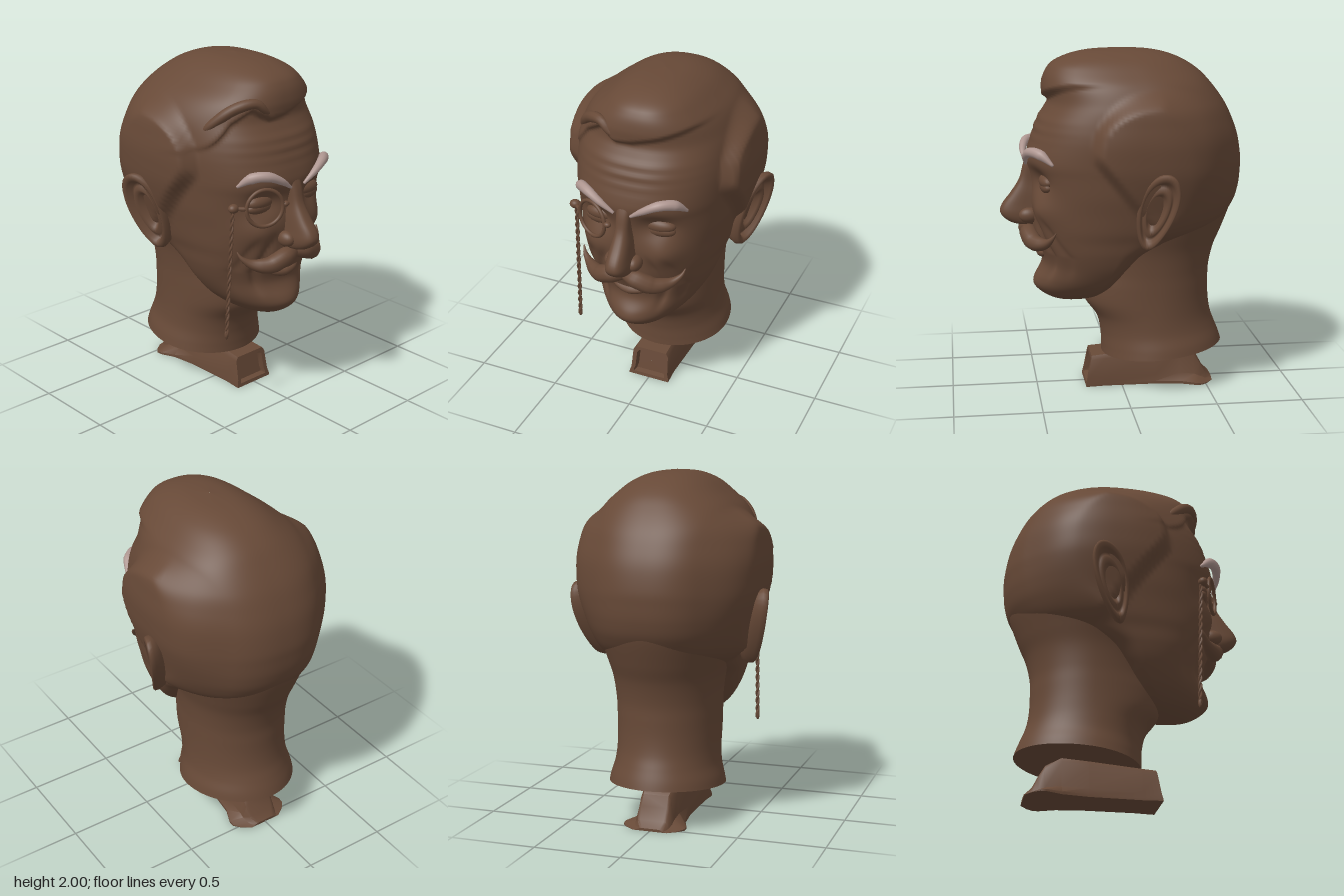
import * as THREE from 'three';
import { toCreasedNormals } from 'three/addons/utils/BufferGeometryUtils.js';

const V = (x, y, z) => new THREE.Vector3(x, y, z);
const step = THREE.MathUtils.smoothstep;
const bump = (x, y, cx, cy, sx, sy) => Math.exp(-(((x - cx) / sx) ** 2) - ((y - cy) / sy) ** 2);
const power = (v, p) => Math.sign(v) * Math.abs(v) ** p;

// Skin closed loops of points into one smooth surface
function loft(rings) {
  const n = rings[0].length, idx = [];
  for (let i = 0; i < rings.length - 1; i++)
    for (let j = 0; j < n; j++) {
      const k = (j + 1) % n, a = i * n + j, b = i * n + k, c = b + n, d = a + n;
      idx.push(a, b, d, b, c, d);
    }
  const g = new THREE.BufferGeometry().setFromPoints(rings.flat());
  g.setIndex(idx);
  g.computeVertexNormals();
  return g;
}

// Round tube whose radius follows a list; both ends closed
function taper(points, radii, steps = 32, sides = 12) {
  const curve = new THREE.CatmullRomCurve3(points.map(p => V(...p)));
  const { normals, binormals } = curve.computeFrenetFrames(steps);
  const ring = (i, r) => Array.from({ length: sides }, (_, j) => {
    const a = j / sides * Math.PI * 2;
    return curve.getPointAt(i / steps)
      .addScaledVector(normals[i], r * Math.cos(a)).addScaledVector(binormals[i], r * Math.sin(a));
  });
  const rings = [ring(0, 0.0005)];
  for (let i = 0; i <= steps; i++) {
    const f = i / steps * (radii.length - 1), k = Math.min(Math.floor(f), radii.length - 2);
    rings.push(ring(i, THREE.MathUtils.lerp(radii[k], radii[k + 1], f - k)));
  }
  rings.push(ring(steps, 0.0005));
  return loft(rings);
}

// Mirror a geometry to the other side, keeping faces outward
function mirrored(geo) {
  const g = geo.clone().scale(-1, 1, 1), ix = g.index.array;
  for (let i = 0; i < ix.length; i += 3) [ix[i], ix[i + 1]] = [ix[i + 1], ix[i]];
  g.computeVertexNormals();
  return g;
}

const ball = (x, y, z, rx, ry, rz) =>
  new THREE.SphereGeometry(1, 24, 16).scale(rx, ry, rz).translate(x, y, z);

// Levels are: y, half width, front z, back z, z of widest point
const NECK = [
  [0.20, 0.335, 0.11, -0.61, -0.22], [0.25, 0.325, 0.11, -0.595, -0.22], [0.33, 0.305, 0.115, -0.57, -0.21],
  [0.42, 0.297, 0.14, -0.545, -0.2], [0.52, 0.295, 0.21, -0.53, -0.2], [0.62, 0.297, 0.22, -0.527, -0.2],
  [0.72, 0.302, 0.2, -0.53, -0.2], [0.84, 0.318, 0.2, -0.557, -0.2], [0.95, 0.35, 0.2, -0.603, -0.2],
  [1.1, 0.4, 0.15, -0.657, -0.2], [1.22, 0.43, 0.1, -0.68, -0.2],
];
const HEAD = [
  [0.521, 0.002, 0.3, 0.296, 0.298], [0.526, 0.06, 0.37, 0.2, 0.28], [0.56, 0.155, 0.445, 0.11, 0.22],
  [0.61, 0.225, 0.493, 0.05, 0.16], [0.67, 0.28, 0.492, 0, 0.12], [0.76, 0.335, 0.458, -0.07, 0.08],
  [0.85, 0.37, 0.468, -0.18, 0.05], [0.93, 0.39, 0.495, -0.4, 0.01], [1.0, 0.412, 0.51, -0.57, -0.03],
  [1.1, 0.432, 0.52, -0.655, -0.07], [1.2, 0.45, 0.52, -0.69, -0.08], [1.3, 0.46, 0.535, -0.7, -0.1],
  [1.38, 0.465, 0.545, -0.7, -0.1], [1.5, 0.47, 0.512, -0.68, -0.1], [1.6, 0.46, 0.475, -0.645, -0.1],
  [1.7, 0.44, 0.415, -0.595, -0.1], [1.8, 0.385, 0.41, -0.52, -0.08], [1.88, 0.3, 0.385, -0.44, -0.05],
  [1.945, 0.215, 0.325, -0.33, -0.02], [1.985, 0.12, 0.21, -0.19, 0], [2.0, 0.001, 0.011, 0.009, 0.01],
];
// Height of the hairline across the forehead
const HAIRLINE = [[-0.5, 1.5], [-0.4, 1.58], [-0.3, 1.7], [-0.2, 1.77], [-0.1, 1.71], [0, 1.72], [0.15, 1.76], [0.3, 1.81], [0.5, 1.85]];
function hairline(x) {
  let i = 0;
  while (i < HAIRLINE.length - 2 && x > HAIRLINE[i + 1][0]) i++;
  const [a, b] = [HAIRLINE[i], HAIRLINE[i + 1]];
  return a[1] + (b[1] - a[1]) * THREE.MathUtils.clamp((x - a[0]) / (b[0] - a[0]), 0, 1);
}

// Point of a level at angle t, 0 being the front; p below 1 squares the outline
function outline([, w, zf, zb, zc], t, p) {
  const s = Math.sin(t), c = Math.cos(t);
  return [w * power(s, p), zc + (c > 0 ? zf - zc : zc - zb) * power(c, p)];
}

// The neck ends in a sloping cut
function neckPoint(level, t) {
  const y = level[0], [x, z] = outline(level, t, 1);
  return V(x, y - 0.085 * z * (1 - step(y, 0.2, 0.5)), z);
}

function headPoint(level, t) {
  const y = level[0], s = Math.sin(t), c = Math.cos(t);
  let [x, z] = outline(level, t, 2 / (2 + 0.35 * step(y, 0.6, 0.95)));
  const ax = Math.abs(x);
  if (c > 0) {
    // Eye sockets, cheeks, chin and mouth
    let d = -0.05 * bump(ax, y, 0.17, 1.265, 0.1, 0.07) + 0.03 * bump(ax, y, 0.23, 1.09, 0.09, 0.08)
      + 0.015 * bump(ax, y, 0, 0.64, 0.12, 0.06) + 0.02 * bump(ax, y, 0, 0.9, 0.15, 0.08);
    // Smile folds
    const ends = step(y, 0.64, 0.78) * (1 - step(y, 0.98, 1.1));
    for (const [x0, k] of [[0.2, 0.018], [0.29, 0.012]])
      d -= k * ends * Math.exp(-(((ax - x0 + Math.abs(y - 0.84) * 0.3) / 0.022) ** 2));
    // Forehead wrinkles
    d += 0.003 * Math.sin(y * 110) * bump(x, y, 0, 1.56, 0.25, 0.09);
    // Swept top hair standing proud of the forehead
    d += 0.04 * step(y, hairline(x) - 0.015, hairline(x) + 0.02) * (1 - step(y, 1.9, 2));
    z += d * Math.min(1, c * 1.6);
  }
  // Side hair raised around the ears, soft at the back and top
  const e = 1 - Math.abs((z + 0.2) / 0.41) ** 2.3 - Math.abs((y - 1.36) / 0.45) ** 2.5;
  const cut = step((0.19 - z) * 0.784 + (y - 1.4) * 0.62, -0.01, 0.05);
  const soft = 0.22 + Math.max(0.75 * (1 - step(z, -0.4, 0)), 0.35 * step(y, 1.55, 1.75));
  x += s * (0.045 + 0.03 * step(y, 1.1, 1.4)) * step(e, 0, soft) * cut;
  return V(x + 0.025 * step(y, 1.7, 1.95), y, z);
}

// Smooth rings through a list of levels
function sweep(levels, point, cols) {
  const a = new THREE.CatmullRomCurve3(levels.map(l => V(l[0], l[1], l[2])), false, 'catmullrom');
  const b = new THREE.CatmullRomCurve3(levels.map(l => V(l[3], l[4], 0)), false, 'catmullrom');
  const rows = (levels.length - 1) * 8;
  return Array.from({ length: rows + 1 }, (_, i) => {
    const p = a.getPoint(i / rows), q = b.getPoint(i / rows);
    return Array.from({ length: cols }, (_, j) => point([p.x, p.y, p.z, q.x, q.y], j / cols * Math.PI * 2));
  });
}

// Long nose with a blunt rounded tip: y, half width, tip z
function noseGeometry() {
  const rows = [[0.982, 0.004, 0.55], [0.985, 0.045, 0.6], [1.0, 0.06, 0.645], [1.03, 0.068, 0.685], [1.06, 0.068, 0.7],
    [1.1, 0.063, 0.688], [1.17, 0.055, 0.635], [1.25, 0.043, 0.585], [1.34, 0.043, 0.56], [1.42, 0.045, 0.525]];
  const curve = new THREE.CatmullRomCurve3(rows.map(r => V(...r)));
  return loft(Array.from({ length: 37 }, (_, i) => {
    const p = curve.getPoint(i / 36);
    return Array.from({ length: 40 }, (_, j) => {
      const t = j / 40 * Math.PI * 2, c = Math.cos(t);
      return V(p.y * power(Math.sin(t), 0.75), p.x, 0.5 + (c > 0 ? p.z - 0.5 : 0.08) * power(c, 0.55));
    });
  }));
}

// Cupped ear with a raised rim, leaning out towards the back
function earGeometry() {
  const profile = [[0, -0.06], [0.6, -0.06], [0.9, -0.03], [1, 0.015], [0.98, 0.04], [0.9, 0.05], [0.8, 0.04], [0.74, 0.01],
    [0.66, 0.012], [0.56, 0.03], [0.46, 0.015], [0.3, -0.02], [0, -0.03]];
  const g = new THREE.LatheGeometry(profile.map(p => new THREE.Vector2(...p)), 40), p = g.attributes.position;
  for (let i = 0; i < p.count; i++) {
    const b = p.getX(i), h = p.getY(i), v = -p.getZ(i);
    p.setXYZ(i, 0.48 + 0.055 * v + 0.045 * b + h, 1.133 + 0.224 * v, -0.14 - b * 0.1 * (1 + 0.28 * v) - 0.05 * v);
  }
  g.computeVertexNormals();
  return g;
}

// Flared stand with a recessed front: z, foot, middle and top half widths, height, slope, inset
function standGeometry() {
  const rows = [[-0.55, 0.001, 0.001, 0.001, 0.01, 0, 1], [-0.55, 0.1, 0.08, 0.06, 0.015, 0, 1], [-0.51, 0.155, 0.1, 0.085, 0.05, 0, 1],
    [-0.475, 0.183, 0.11, 0.09, 0.12, 0, 1], [-0.44, 0.183, 0.11, 0.09, 0.18, 0, 1], [-0.35, 0.145, 0.11, 0.1, 0.228, 0, 1],
    [-0.2, 0.125, 0.115, 0.11, 0.215, 0, 1], [0.1, 0.12, 0.115, 0.112, 0.19, 0, 1], [0.215, 0.13, 0.12, 0.115, 0.183, 0.035, 1],
    [0.215, 0.13, 0.12, 0.115, 0.183, 0.035, 0.78], [0.185, 0.13, 0.12, 0.115, 0.183, 0.035, 0.7], [0.185, 0.13, 0.12, 0.115, 0.183, 0.035, 0.01]];
  return toCreasedNormals(loft(rows.map(([z, b, m, t, h, slope, k]) => {
    const half = [[b, 0], [b, 0.07], [m, 0.25], [t, 0.88], [t - 0.015, 1]];
    const loop = [...half, ...half.map(([x, f]) => [-x, f]).reverse()];
    return loop.map(([x, f]) => {
      const y = 0.5 + (f - 0.5) * k;
      return V(x * k, y * h, z - slope * y);
    });
  })), 0.7);
}

export function createModel() {
  const model = new THREE.Group();
  const brown = new THREE.MeshStandardMaterial({ name: 'brown', color: 0x674937 });
  const brow = new THREE.MeshStandardMaterial({ name: 'dusty pink', color: 0xae9690 });
  const add = (name, geo, mat = brown) => {
    const mesh = new THREE.Mesh(geo, mat);
    mesh.name = name;
    model.add(mesh);
    return mesh;
  };
  const pair = (name, geo, mat) => {
    add(name + 'Left', geo, mat);
    add(name + 'Right', mirrored(geo), mat);
  };

  const neck = sweep(NECK, neckPoint, 80);
  add('neck', loft(neck));
  add('neckBottom', loft([neck[0].map(() => V(0, 0.221, -0.25)), neck[0]]));
  add('head', loft(sweep(HEAD, headPoint, 160)));
  add('stand', standGeometry());
  add('hairLock', taper([[-0.4, 1.6, 0.15], [-0.36, 1.7, 0.25], [-0.27, 1.79, 0.345], [-0.18, 1.81, 0.405], [-0.12, 1.76, 0.425], [-0.05, 1.73, 0.42]],
    [0.01, 0.025, 0.032, 0.032, 0.024, 0.004]));

  // Face
  add('nose', noseGeometry());
  pair('nostril', ball(0.07, 1.045, 0.535, 0.04, 0.045, 0.06));
  pair('upperLid', ball(0.17, 1.264, 0.432, 0.1, 0.046, 0.052));
  pair('lowerLid', ball(0.17, 1.235, 0.435, 0.1, 0.042, 0.044));
  pair('ear', earGeometry());
  add('lowerLip', taper([[-0.14, 0.85, 0.42], [-0.07, 0.818, 0.455], [0, 0.808, 0.465], [0.07, 0.818, 0.455], [0.14, 0.85, 0.42]],
    [0.006, 0.02, 0.026, 0.02, 0.006]));
  pair('moustache', taper([[-0.01, 0.955, 0.525], [0.08, 0.94, 0.54], [0.17, 0.905, 0.51], [0.25, 0.915, 0.455], [0.3, 0.955, 0.42], [0.315, 0.99, 0.4]],
    [0.03, 0.052, 0.052, 0.04, 0.02, 0.003]));
  pair('eyebrow', taper([[0.05, 1.345, 0.55], [0.13, 1.4, 0.555], [0.21, 1.437, 0.532], [0.28, 1.43, 0.478], [0.33, 1.378, 0.415]],
    [0.008, 0.02, 0.028, 0.03, 0.008]), brow);

  // Monocle with its knobs and twisted cord
  const ring = add('monocleRing', new THREE.TorusGeometry(0.106, 0.011, 10, 48));
  ring.position.set(-0.205, 1.25, 0.505);
  ring.rotation.y = -0.42;
  add('monocleKnob', ball(-0.355, 1.26, 0.415, 0.032, 0.026, 0.028));
  add('monocleHinge', ball(-0.09, 1.26, 0.55, 0.022, 0.016, 0.018));
  add('monoclePin', taper([[-0.355, 1.26, 0.415], [-0.3, 1.255, 0.46]], [0.012, 0.012], 4, 8));
  for (const phase of [0, Math.PI]) {
    const points = Array.from({ length: 61 }, (_, i) => {
      const f = i / 60, a = f * Math.PI * 16 + phase;
      return [-0.352 - 0.018 * f + 0.006 * Math.cos(a), 1.25 - 0.77 * f, 0.405 - 0.03 * f + 0.006 * Math.sin(a)];
    });
    add('cordStrand', taper(points, [0.007, 0.007], 150, 6));
  }
  add('cordEnd', ball(-0.37, 0.495, 0.375, 0.013, 0.03, 0.01));
  return model;
}
